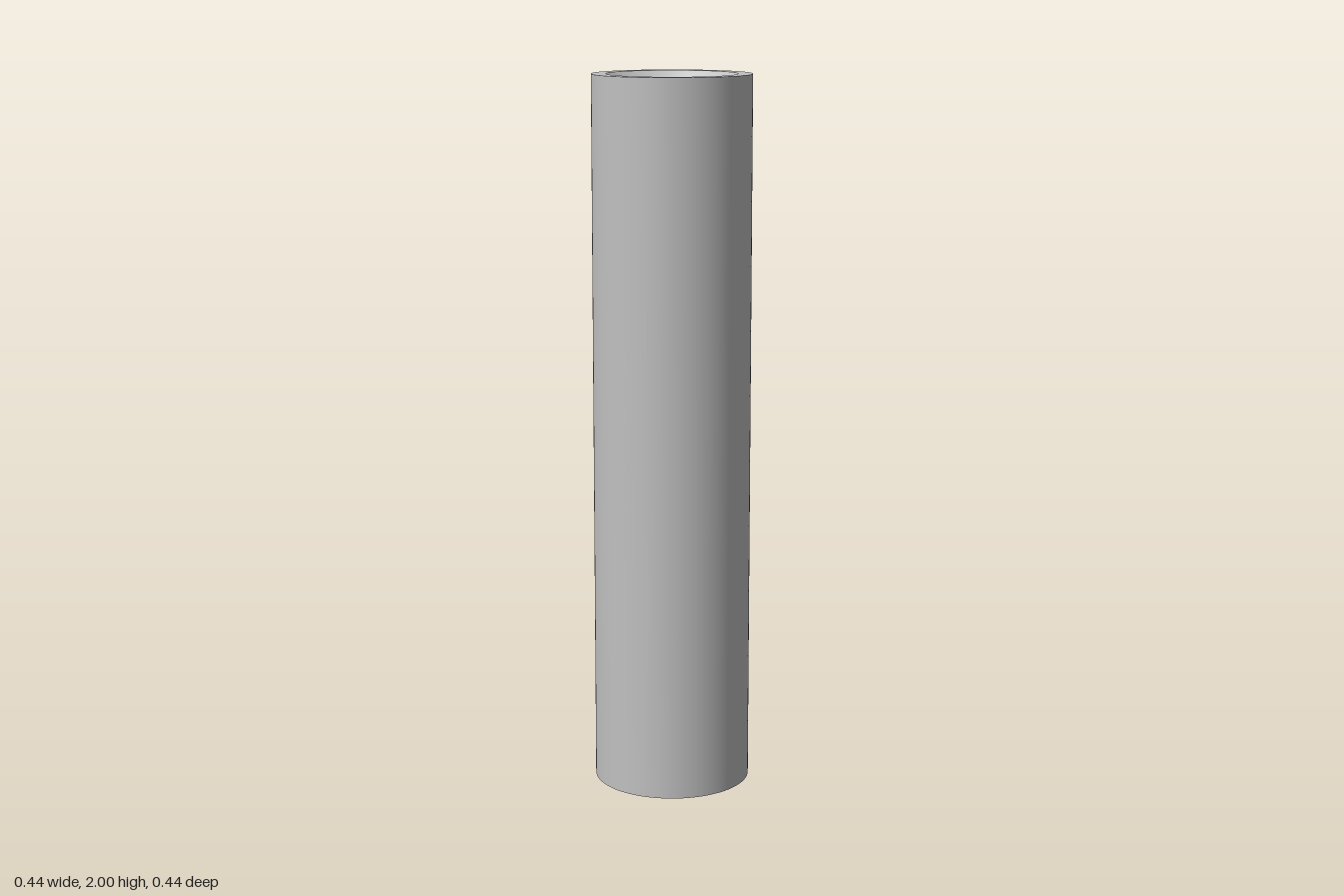
import * as THREE from 'three';
import { toCreasedNormals } from 'three/addons/utils/BufferGeometryUtils.js';

const LENGTH = 2, OUTER = 0.22, MAJOR = 0.18, MINOR = 0.145, BORE = 0.08;
const PITCH = 0.056, DEPTH = 0.5, SEGMENTS = 96, STEPS = 10;

const lathe = (points) => toCreasedNormals(
  new THREE.LatheGeometry(points.map(([r, y]) => new THREE.Vector2(r, y)), SEGMENTS), 0.5);

// Radius of the threaded hole at a depth below the rim, for a turn angle
function threadRadius(depth, turn) {
  const phase = (((depth / PITCH - turn) % 1) + 1) % 1;
  const wave = THREE.MathUtils.clamp((Math.abs(phase - 0.5) - 0.1) / 0.3, 0, 1);
  const fade = THREE.MathUtils.clamp((DEPTH - depth) / PITCH, 0, 1);
  const cut = MINOR + (MAJOR - 0.005 - MINOR) * wave * fade;
  return Math.max(cut, MAJOR - depth); // entry chamfer
}

// Inward-facing helical thread: rows follow the helix and stop at both ends
function threadGeometry() {
  const rows = Math.ceil((DEPTH / PITCH + 1) * STEPS);
  const positions = [], index = [], depths = [];
  for (let j = 0; j <= rows; j++) {
    for (let i = 0; i <= SEGMENTS; i++) {
      const turn = i / SEGMENTS, a = turn * Math.PI * 2;
      const depth = THREE.MathUtils.clamp((j / STEPS + turn - 1) * PITCH, 0, DEPTH);
      const r = threadRadius(depth, turn);
      positions.push(r * Math.cos(a), LENGTH / 2 - depth, r * Math.sin(a));
      depths.push(depth);
    }
  }
  const addTriangle = (a, b, c) => {
    if (depths[a] !== depths[b] || depths[b] !== depths[c]) index.push(a, b, c);
  };
  for (let j = 0; j < rows; j++) {
    for (let i = 0; i < SEGMENTS; i++) {
      const a = j * (SEGMENTS + 1) + i, b = a + SEGMENTS + 1;
      addTriangle(a, b, a + 1);
      addTriangle(b, b + 1, a + 1);
    }
  }
  const geometry = new THREE.BufferGeometry();
  geometry.setAttribute('position', new THREE.Float32BufferAttribute(positions, 3));
  geometry.setIndex(index);
  return toCreasedNormals(geometry, 0.5);
}

export function createModel() {
  const group = new THREE.Group();
  group.name = 'threadedSleeve';
  const steel = new THREE.MeshStandardMaterial({ color: 0xc0c0c0 });
  steel.name = 'steel grey';

  const add = (name, geometry) => {
    const mesh = new THREE.Mesh(geometry, steel);
    mesh.name = name;
    group.add(mesh);
    return mesh;
  };

  // Outer wall with a flat rim at each end
  add('outerWall', lathe([[MAJOR, 0], [OUTER, 0], [OUTER, LENGTH], [MAJOR, LENGTH]]));

  // Narrow through hole with a conical seat at each end
  const cone = MINOR - BORE;
  add('centreBore', lathe([
    [MINOR, LENGTH - DEPTH], [BORE, LENGTH - DEPTH - cone],
    [BORE, DEPTH + cone], [MINOR, DEPTH],
  ]));

  // Internal threads, the lower one turned end for end
  const thread = threadGeometry();
  add('topThread', thread).position.y = LENGTH / 2;
  const bottom = add('bottomThread', thread);
  bottom.position.y = LENGTH / 2;
  bottom.rotation.x = Math.PI;

  return group;
}
